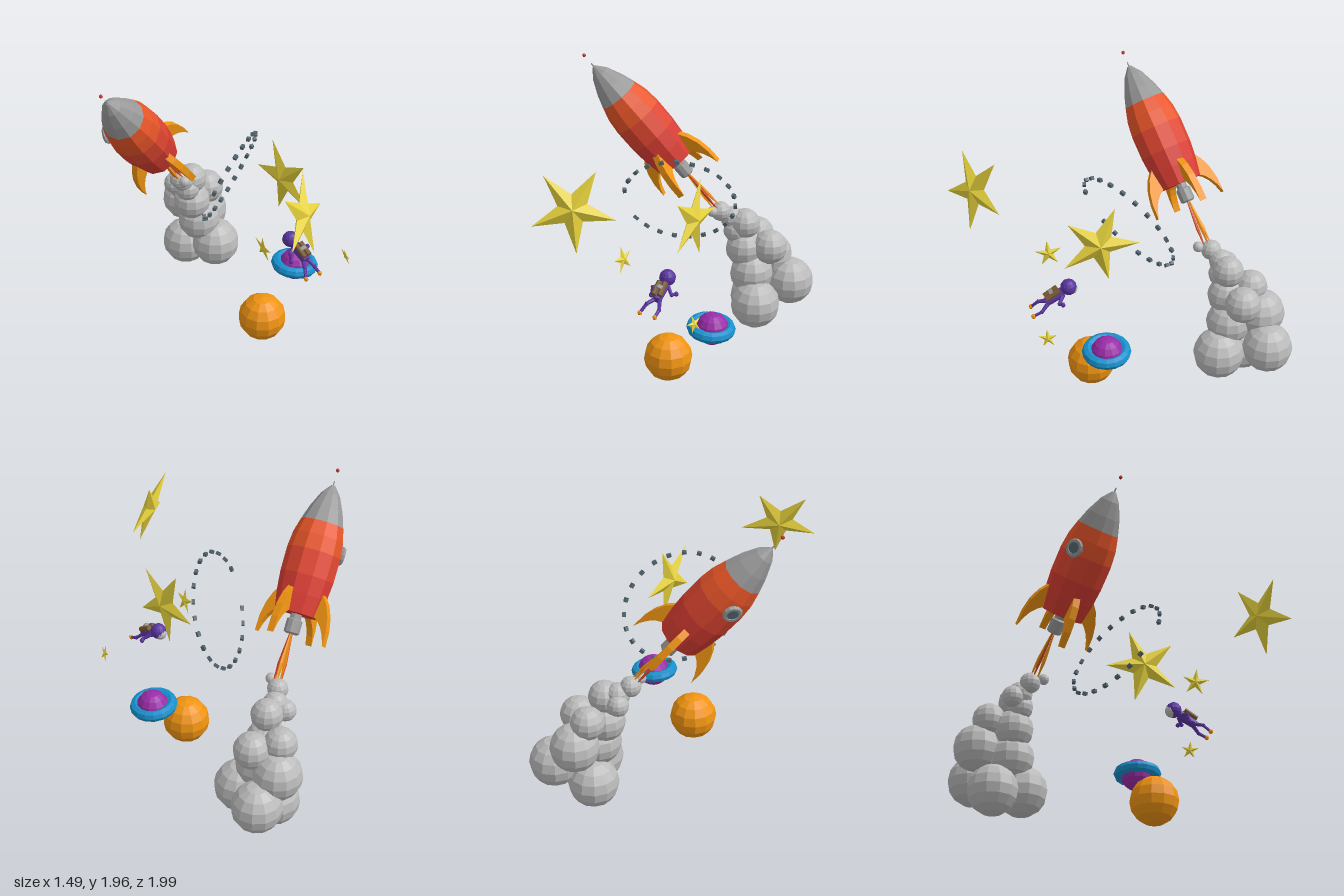
import * as THREE from 'three';

const V = (x, y, z) => new THREE.Vector3(x, y, z);
const mats = {};
const mat = (color) => (mats[color] ??= new THREE.MeshStandardMaterial({ color, flatShading: true }));
const RED = 0xd83c32, ORANGE = 0xf09412, GREY = 0x999999, SMOKE = 0xbbbbbb;
const YELLOW = 0xe6d23c, PURPLE = 0x5a35a0, SLATE = 0x566873;

function add(parent, name, geo, color, pos) {
  const m = new THREE.Mesh(geo, mat(color));
  m.name = name;
  if (pos) m.position.set(...pos);
  parent.add(m);
  return m;
}

function ball(parent, name, pos, r, color, seg = 12) {
  return add(parent, name, new THREE.SphereGeometry(r, seg, Math.round(seg * 0.66)), color, pos);
}

// tapered rod between two points
function rod(parent, name, a, b, ra, rb, color, seg = 6) {
  const p = V(...a), d = V(...b).sub(p);
  const m = add(parent, name, new THREE.CylinderGeometry(rb, ra, d.length(), seg), color);
  m.position.copy(p).addScaledVector(d, 0.5);
  m.quaternion.setFromUnitVectors(V(0, 1, 0), d.normalize());
  return m;
}

function lathe(parent, name, pts, color, seg = 11) {
  return add(parent, name, new THREE.LatheGeometry(pts.map((p) => new THREE.Vector2(...p)), seg), color);
}

// five-pointed star with a raised ridge on both faces; one tip points at the given spot
function star(parent, centre, normal, tip) {
  const c = V(...centre), n = V(...normal).normalize();
  const u = V(...tip).sub(c).projectOnPlane(n), R = u.length();
  u.normalize();
  const w = n.clone().cross(u), pos = [];
  const rim = (i) => V(Math.cos(i * Math.PI / 5), Math.sin(i * Math.PI / 5), 0).multiplyScalar(i % 2 ? R * 0.35 : R);
  for (let i = 0; i < 10; i++) {
    const a = rim(i), b = rim(i + 1), h = R * 0.16;
    pos.push(...a, ...b, 0, 0, h, ...b, ...a, 0, 0, -h);
  }
  const geo = new THREE.BufferGeometry();
  geo.setAttribute('position', new THREE.Float32BufferAttribute(pos, 3));
  geo.computeVertexNormals();
  const m = add(parent, 'star', geo, YELLOW, centre);
  m.quaternion.setFromRotationMatrix(new THREE.Matrix4().makeBasis(u, w, n));
}

// rocket, built upright from its base and then tilted
function rocket() {
  const g = new THREE.Group();
  g.name = 'rocket';
  lathe(g, 'lowerHull', [[0, 0], [0.142, 0], [0.162, 0.12], [0.173, 0.24]], RED);
  lathe(g, 'middleHull', [[0.173, 0.24], [0.174, 0.4]], 0xdf4630);
  lathe(g, 'upperHull', [[0.174, 0.4], [0.163, 0.5], [0.138, 0.59]], 0xe85528);
  lathe(g, 'noseCone', [[0.138, 0.59], [0.108, 0.68], [0.062, 0.78], [0.014, 0.84], [0, 0.845]], GREY);
  rod(g, 'antenna', [0, 0.83, 0], [0, 0.87, 0], 0.006, 0.004, GREY);
  ball(g, 'antennaLight', [0, 0.94, 0], 0.012, 0xc83030, 8);
  lathe(g, 'nozzle', [[0, -0.1], [0.03, -0.1], [0.036, -0.13], [0.05, -0.12], [0.05, -0.04], [0.036, -0.03], [0.036, 0]], GREY, 10);

  // swept fins
  const s = new THREE.Shape();
  s.moveTo(0.15, 0.16);
  s.quadraticCurveTo(0.26, 0.05, 0.25, -0.16);
  s.quadraticCurveTo(0.215, -0.03, 0.13, 0.01);
  const fin = new THREE.ExtrudeGeometry(s, { depth: 0.045, bevelEnabled: false, curveSegments: 4 });
  fin.translate(0, 0, -0.0225);
  for (let i = 0; i < 4; i++) add(g, 'fin', fin, ORANGE).rotation.y = i * Math.PI / 2;

  // porthole on the far side
  const port = new THREE.Group();
  port.name = 'porthole';
  add(port, 'portholeRim', new THREE.TorusGeometry(0.046, 0.016, 6, 12), GREY);
  add(port, 'portholeGlass', new THREE.CylinderGeometry(0.04, 0.04, 0.02, 12), SLATE).rotation.x = Math.PI / 2;
  const a = Math.atan2(-0.136, -0.16);
  port.position.set(Math.sin(a) * 0.172, 0.43, Math.cos(a) * 0.172);
  port.rotation.y = a;
  g.add(port);

  // flame tongues
  for (let i = 0; i < 5; i++) {
    const t = i * Math.PI * 0.4, x = Math.cos(t), z = Math.sin(t);
    const mid = [x * 0.02, -0.32, z * 0.02], color = i % 2 ? 0xd8482a : ORANGE;
    rod(g, 'flame', [x * 0.008, -0.13, z * 0.008], mid, 0.004, 0.011, color, 4);
    rod(g, 'flame', mid, [x * 0.025, -0.44, z * 0.025], 0.011, 0.003, color, 4);
  }

  g.position.set(-0.16, 1.235, -0.49);
  g.quaternion.setFromRotationMatrix(new THREE.Matrix4().makeBasis(
    V(0.777, 0.629, 0), V(-0.618, 0.764, 0.181), V(0.114, -0.141, 0.982)));
  return g;
}

// floating astronaut, face down with the pack on top
function astronaut() {
  const g = new THREE.Group();
  g.name = 'astronaut';
  ball(g, 'helmet', [0.153, 0.85, 0.42], 0.053, PURPLE);
  ball(g, 'visor', [0.153, 0.838, 0.402], 0.042, SMOKE, 10);
  rod(g, 'torso', [0.15, 0.82, 0.46], [0.14, 0.762, 0.57], 0.034, 0.03, PURPLE, 8);
  for (const s of [-1, 1])
    rod(g, 'airTank', [0.148 + s * 0.02, 0.85, 0.49], [0.142 + s * 0.02, 0.8, 0.575], 0.018, 0.018, 0x7a5a30, 8);
  rod(g, 'packBand', [0.147, 0.832, 0.52], [0.145, 0.82, 0.54], 0.03, 0.03, GREY, 8);
  const limbs = {
    leftArm: [[0.18, 0.81, 0.47], [0.215, 0.78, 0.505], [0.24, 0.785, 0.49]],
    rightArm: [[0.12, 0.81, 0.47], [0.08, 0.8, 0.485], [0.075, 0.75, 0.5]],
    leftLeg: [[0.16, 0.76, 0.565], [0.175, 0.72, 0.61], [0.168, 0.695, 0.665]],
    rightLeg: [[0.122, 0.76, 0.565], [0.09, 0.745, 0.605], [0.06, 0.695, 0.645]],
  };
  for (const [name, [a, b, c]] of Object.entries(limbs)) {
    const leg = name.endsWith('Leg');
    rod(g, name, a, b, 0.014, 0.011, PURPLE);
    ball(g, name + 'Joint', b, 0.014, PURPLE, 6);
    rod(g, name, b, c, 0.011, 0.01, PURPLE);
    ball(g, name + (leg ? 'Boot' : 'Glove'), c, 0.016, leg ? ORANGE : PURPLE, 6);
  }
  return g;
}

export function createModel() {
  const model = new THREE.Group();
  model.add(rocket(), astronaut());

  // exhaust cloud: x, y, z, radius
  const puffs = [
    [0.575, 0.315, -0.81, 0.165], [0.415, 0.235, -0.535, 0.17], [0.33, 0.185, -0.75, 0.165],
    [0.41, 0.48, -0.835, 0.16], [0.35, 0.42, -0.63, 0.15], [0.465, 0.62, -0.67, 0.12],
    [0.335, 0.655, -0.79, 0.11], [0.29, 0.595, -0.64, 0.13], [0.29, 0.78, -0.64, 0.105],
    [0.23, 0.73, -0.62, 0.085], [0.2, 0.81, -0.63, 0.08], [0.17, 0.77, -0.69, 0.07],
    [0.13, 0.865, -0.59, 0.068], [0.1, 0.89, -0.51, 0.036],
  ];
  for (const [x, y, z, r] of puffs) ball(model, 'smokePuff', [x, y, z], r, SMOKE);

  // planets
  ball(model, 'planet', [0.085, 0.165, 0.245], 0.16, ORANGE);
  ball(model, 'ringedPlanet', [0.393, 0.45, 0.255], 0.108, 0x9a2ca8);
  const ring = new THREE.TorusGeometry(0.122, 0.037, 8, 16).rotateX(Math.PI / 2);
  add(model, 'planetRing', ring, 0x1890cc, [0.385, 0.455, 0.255]).rotation.set(0.04, 0, -0.09);

  // stars
  star(model, [-0.26, 1.44, 0.88], [0.4, 0.3, 1], [-0.445, 1.63, 0.88]);
  star(model, [0.26, 1.19, 0.25], [1, 0.05, 0.12], [0.29, 1.165, -0.01]);
  star(model, [-0.135, 0.935, 0.45], [1, 0.15, 0.25], [-0.148, 1.025, 0.455]);
  star(model, [0.425, 0.7, 0.66], [0.9, 0.25, 0.4], [0.41, 0.76, 0.66]);

  // tilted loop of small blocks, open on one side
  const loop = (t) => {
    const x = 0.325 * Math.cos(t), y = 0.322 * Math.sin(t);
    return V(0.055 + x, 1.17 + y, -0.03 - 0.42 * x + 0.45 * y);
  };
  const block = new THREE.BoxGeometry(0.022, 0.022, 0.03);
  for (let i = 0; i <= 20; i++) {
    const t = THREE.MathUtils.degToRad(-152 + i * 15.8);
    add(model, 'trailBlock', block, SLATE, loop(t).toArray()).lookAt(loop(t + 0.05));
  }
  return model;
}
